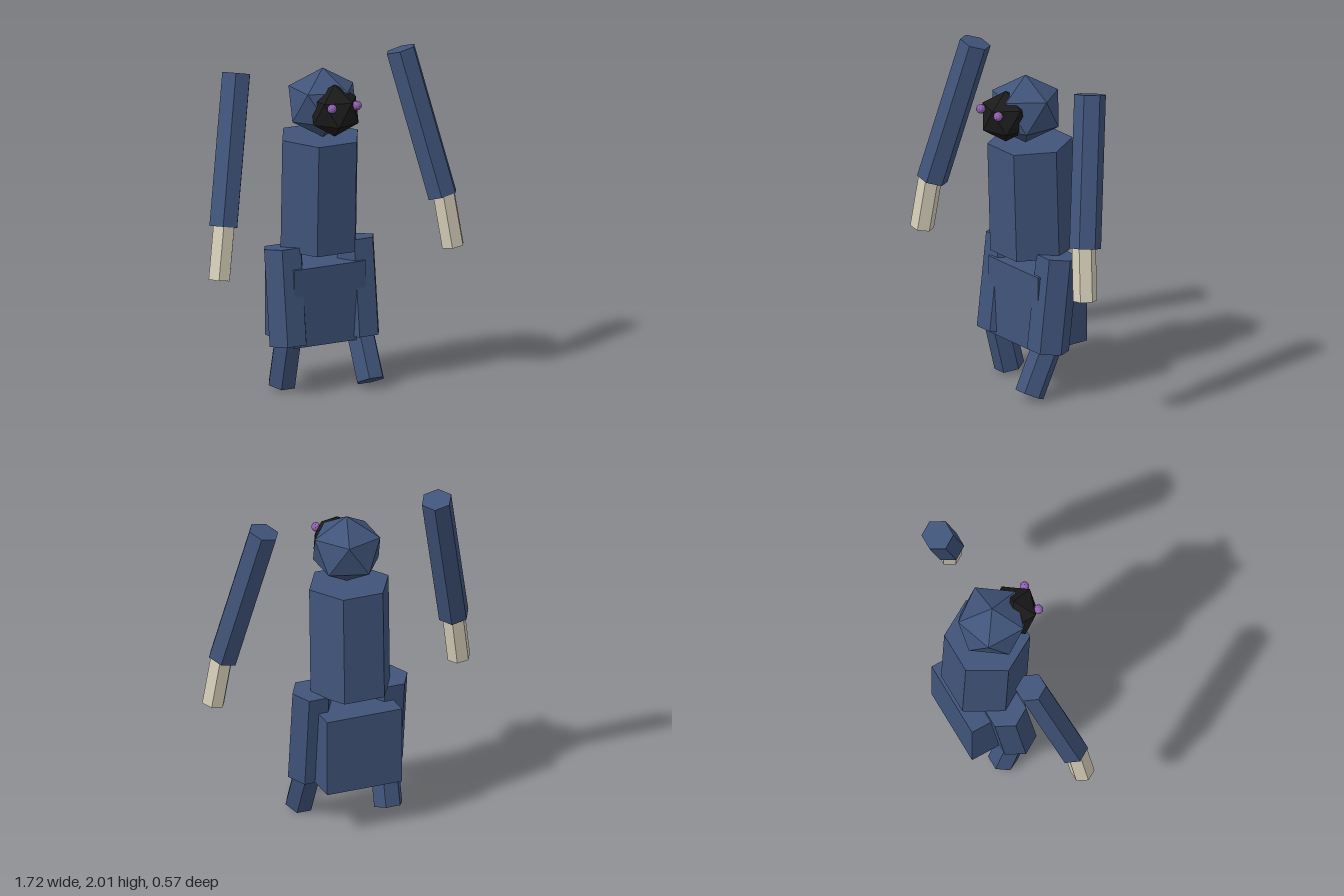
import * as THREE from 'three';

const mat = (name, color) => {
  const m = new THREE.MeshStandardMaterial({ color, flatShading: true });
  m.name = name;
  return m;
};

export function createModel() {
  const navy = mat('navy', 0x40547a);
  const black = mat('black', 0x1b1b1b);
  const cream = mat('cream', 0xd8d0ba);
  const purple = mat('purple', 0x9362b4);

  const group = new THREE.Group();
  const add = (name, geometry, material, x = 0, y = 0, z = 0) => {
    const mesh = new THREE.Mesh(geometry, material);
    mesh.name = name;
    mesh.position.set(x, y, z);
    group.add(mesh);
    return mesh;
  };

  // Six-sided prism between two points, with a flat side to the front
  const up = new THREE.Vector3(0, 1, 0);
  const limb = (name, material, radius, top, bottom) => {
    const a = new THREE.Vector3(...top);
    const b = new THREE.Vector3(...bottom);
    const axis = a.clone().sub(b);
    const geometry = new THREE.CylinderGeometry(radius, radius, axis.length(), 6);
    geometry.rotateY(Math.PI / 6);
    const mesh = add(name, geometry, material);
    mesh.position.copy(a).add(b).multiplyScalar(0.5);
    mesh.quaternion.setFromUnitVectors(up, axis.normalize());
    return mesh;
  };

  // Icosahedron standing on one of its corners
  const gem = (radius, heightScale) => {
    const geometry = new THREE.IcosahedronGeometry(radius, 0);
    geometry.rotateZ(-Math.atan(2 / (1 + Math.sqrt(5))));
    geometry.scale(1, heightScale, 1);
    return geometry;
  };

  // Body
  limb('torso', navy, 0.255, [0, 1.533, -0.043], [0, 0.853, -0.065]);
  add('pelvis', new THREE.BoxGeometry(0.48, 0.48, 0.368), navy, 0, 0.52, -0.101);

  // Head and face
  add('head', gem(0.229, 0.93), navy, 0, 1.743, -0.01);
  add('face', gem(0.16, 1), black, 0, 1.728, 0.138);

  // Mirrored parts
  for (const [side, s] of [['left', 1], ['right', -1]]) {
    add(side + 'Eye', new THREE.IcosahedronGeometry(0.029, 1), purple, s * 0.084, 1.778, 0.26);
    limb(side + 'UpperArm', navy, 0.095, [s * 0.555, 1.984, -0.064], [s * 0.74, 1.105, 0.116]);
    limb(side + 'Forearm', cream, 0.072, [s * 0.738, 1.15, 0.126], [s * 0.789, 0.797, 0.155]);
    limb(side + 'Thigh', navy, 0.126, [s * 0.243, 0.873, -0.06], [s * 0.243, 0.29, 0.01]);
  }

  // Shins in mid-stride, left one forward
  limb('leftShin', navy, 0.09, [0.238, 0.34, 0], [0.238, 0.037, 0.146]);
  limb('rightShin', navy, 0.09, [-0.24, 0.34, 0.005], [-0.24, 0.03, -0.074]);

  return group;
}
